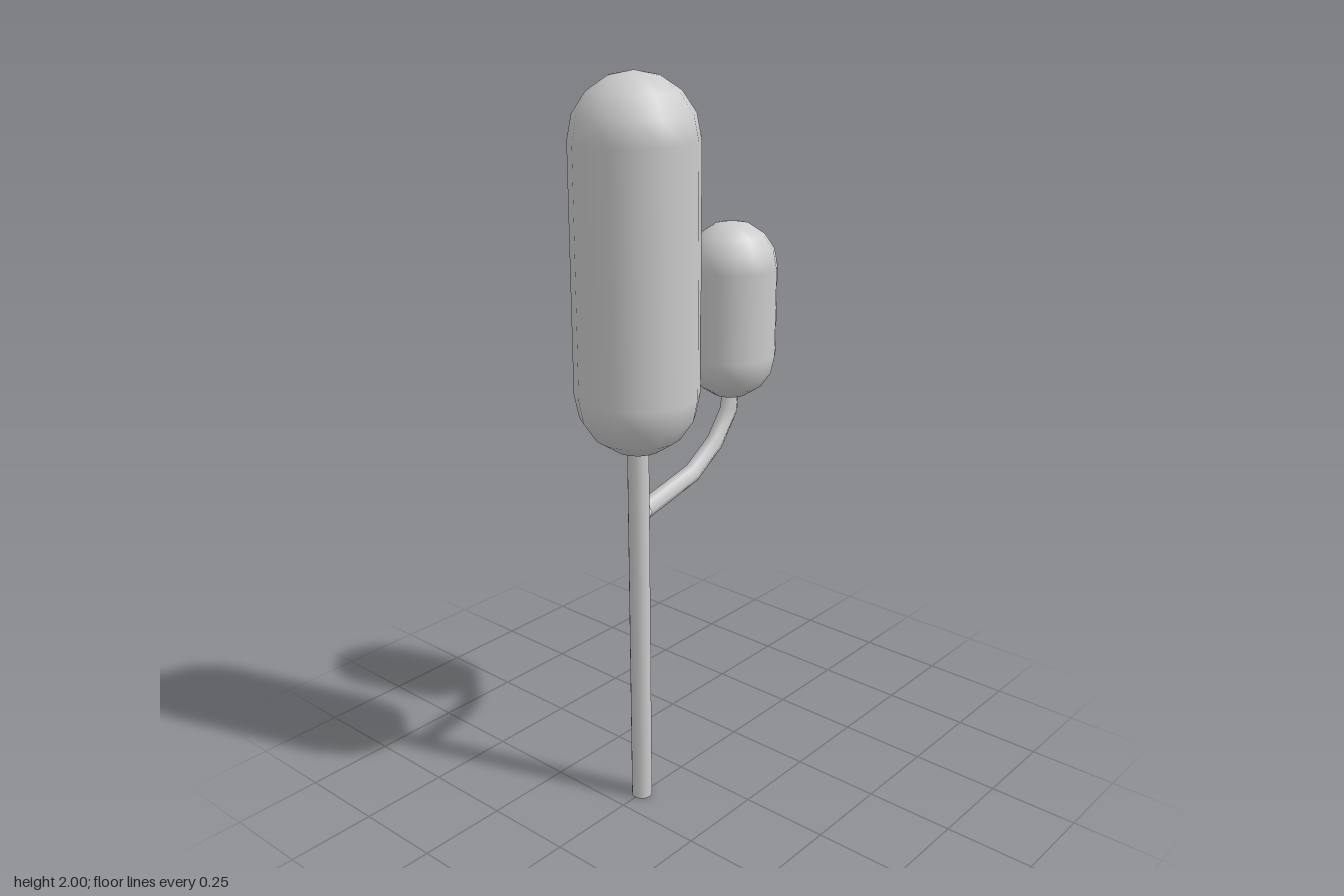
import * as THREE from 'three';

const material = new THREE.MeshStandardMaterial({ color: 0xcccccc, side: THREE.DoubleSide });

// Straight runs between knots, so each ring of the tube sits on a knot
class KnotCurve extends THREE.Curve {
  constructor(knots) {
    super();
    this.knots = knots.map(([x, y]) => new THREE.Vector3(x, y, 0));
  }
  getPoint(t, target = new THREE.Vector3()) {
    const s = t * (this.knots.length - 1);
    const i = Math.min(Math.floor(s), this.knots.length - 2);
    return target.lerpVectors(this.knots[i], this.knots[i + 1], s - i);
  }
  getPointAt(u, target) { return this.getPoint(u, target); }
  getTangentAt(u, target) { return this.getTangent(u, target); }
}

export function createModel() {
  const model = new THREE.Group();
  model.name = 'tree';

  const add = (name, geometry, x = 0, y = 0) => {
    const mesh = new THREE.Mesh(geometry, material);
    mesh.name = name;
    mesh.position.set(x, y, 0);
    model.add(mesh);
  };

  // Rounded foliage spanning bottom to top
  const addFoliage = (name, x, radius, bottom, top) =>
    add(name, new THREE.CapsuleGeometry(radius, top - bottom - 2 * radius, 4, 16), x, (bottom + top) / 2);

  // Trunk reaches a little way into the main foliage
  const trunkHeight = 1.1;
  add('trunk', new THREE.CylinderGeometry(0.029, 0.029, trunkHeight, 12), -0.171, trunkHeight / 2);
  addFoliage('mainFoliage', -0.171, 0.162, 1.04, 2);

  // Side branch bends upward into the smaller foliage
  const knots = [[-0.148, 0.872], [0.046, 0.918], [0.143, 0.982], [0.203, 1.062], [0.21, 1.14]];
  add('branch', new THREE.TubeGeometry(new KnotCurve(knots), knots.length - 1, 0.026, 6));
  addFoliage('sideFoliage', 0.208, 0.124, 1.1, 1.588);

  return model;
}
